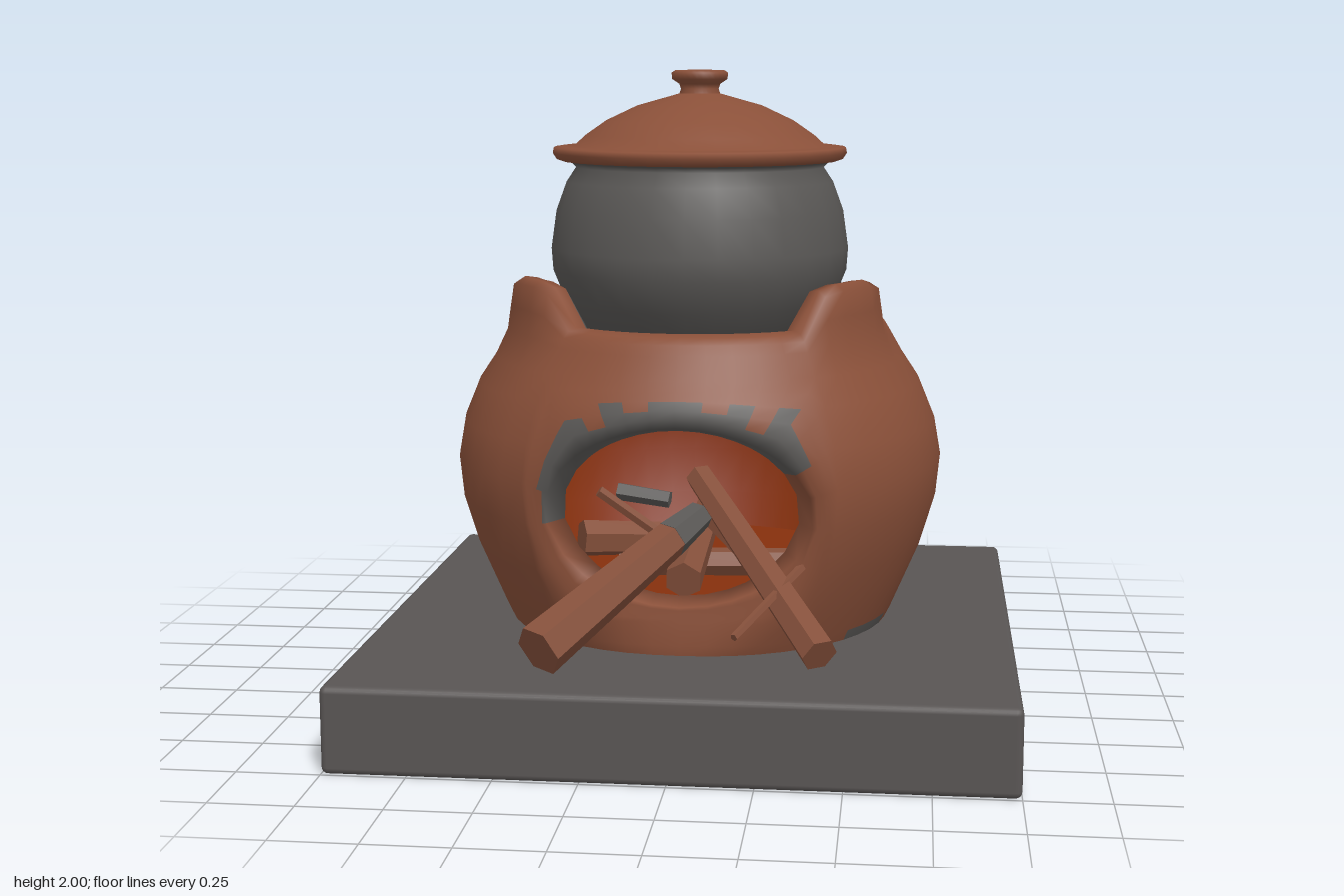
import * as THREE from 'three';
import { mergeVertices } from 'three/addons/utils/BufferGeometryUtils.js';
import { RoundedBoxGeometry } from 'three/addons/geometries/RoundedBoxGeometry.js';

const CX = -0.01, CZ = -0.03; // shared axis of stove and pot
const COLS = 48, HALF = 5;    // columns around the stove, half width of the mouth window

// Stove wall rows: radius, height, share of the lug lift
const OUTER = [
  [0.61, 0.25, 0], [0.63, 0.29, 0], [0.66, 0.36, 0], [0.72, 0.5, 0], [0.765, 0.65, 0],
  [0.778, 0.78, 0], [0.757, 0.9, 0], [0.708, 1.02, 0], [0.655, 1.1, 0], [0.615, 1.17, 0.15],
  [0.597, 1.2, 0.5], [0.577, 1.22, 0.92], [0.545, 1.228, 1], [0.505, 1.222, 1],
];
const INNER = [
  [0.478, 1.19, 0.8], [0.48, 1.15, 0.2], [0.56, 1.1, 0], [0.62, 1.02, 0], [0.67, 0.9, 0],
  [0.69, 0.78, 0], [0.68, 0.65, 0], [0.64, 0.5, 0], [0.58, 0.36, 0],
];
const OUT_ROWS = [2, 8];   // rows spanned by the mouth window, outside
const IN_ROWS = [16, 22];  // and inside

// Three pot supports, one at the back and two toward the front
function lug(theta) {
  let best = 0;
  for (const c of [Math.PI, Math.PI / 3, -Math.PI / 3]) {
    const d = Math.abs(Math.atan2(Math.sin(theta - c), Math.cos(theta - c)));
    best = Math.max(best, 1 - THREE.MathUtils.smoothstep(d, 0.23, 0.38));
  }
  return best;
}

// Point on the wall; the front is flattened around the mouth
function wallPoint(theta, r, y, lift, inside) {
  const l = lift * lug(theta);
  const rad = r + 0.025 * l;
  let z = rad * Math.cos(theta) + CZ;
  if (z > 0) {
    const lim = 0.565 + 0.48 * (y - 0.5) ** 2 - (inside ? 0.07 : 0);
    z = 0.5 * (z + lim - Math.sqrt((z - lim) ** 2 + 0.0006));
  }
  return [rad * Math.sin(theta) + CX, y + 0.133 * l, z];
}

function radiusAt(rows, y) {
  for (let i = 0; i < rows.length - 1; i++) {
    const [a, b] = [rows[i], rows[i + 1]];
    if ((y - a[1]) * (y - b[1]) <= 0) return a[0] + (b[0] - a[0]) * (y - a[1]) / (b[1] - a[1]);
  }
  return rows[0][0];
}

function stoveGeometry() {
  const buckets = [[], [], []]; // clay, soot, ember
  const quad = (m, a, b, c, d) => buckets[m].push(...a, ...b, ...c, ...a, ...c, ...d);
  const rows = [...OUTER, ...INNER];
  const angle = i => i * Math.PI * 2 / COLS;
  const at = (i, j) => wallPoint(angle(i), ...rows[j], j >= OUTER.length);

  // Wall all around, leaving the mouth window open
  for (let j = 0; j < rows.length - 1; j++) {
    for (let i = -HALF; i < COLS - HALF; i++) {
      const inWindow = [OUT_ROWS, IN_ROWS].some(([a, b]) => j >= a && j < b);
      if (i < HALF && inWindow) continue;
      const stained = j === 0 && Math.sin(i * 0.9 + 1) + Math.sin(i * 0.37 + 4) > 0.6;
      const m = j >= IN_ROWS[0] ? 2 : j >= OUTER.length - 1 || stained ? 1 : 0;
      quad(m, at(i, j), at(i + 1, j), at(i + 1, j + 1), at(i, j + 1));
    }
  }

  // Window outline, counter-clockwise from the lower corner
  const edge = [];
  const [lo, hi] = OUT_ROWS;
  for (let i = -HALF; i < HALF; i++) edge.push([angle(i), OUTER[lo][1]]);
  for (let j = lo; j < hi; j++) edge.push([angle(HALF), OUTER[j][1]]);
  for (let i = HALF; i > -HALF; i--) edge.push([angle(i), OUTER[hi][1]]);
  for (let j = hi; j > lo; j--) edge.push([angle(-HALF), OUTER[j][1]]);

  const bearing = ([th, y]) => Math.atan2((y - 0.68) / 0.37, th / 0.654);
  const mouth = (p, s) => {
    const a = bearing(p), sn = Math.sin(a);
    return [0.55 * Math.cos(a), 0.68 + sn * s * (sn > 0 ? 0.29 : 0.275)];
  };
  const innerWall = INNER.slice(2);
  const place = (th, y, inside) =>
    wallPoint(th, radiusAt(inside ? innerWall : OUTER, y), y, 0, inside);

  // Loops from the window edge to the lip, through the wall, and out to the inner edge
  const steps = [1, 0.8, 0.6, 0.4, 0.2, 0];
  const loops = steps.map(t => edge.map(p => {
    const m = mouth(p, 1);
    return place(m[0] + (p[0] - m[0]) * t, m[1] + (p[1] - m[1]) * t, false);
  }));
  loops.push(edge.map(p => place(...mouth(p, 0.93), true)));
  loops.push(edge.map(p => place(...p, true)));
  for (let n = 0; n < loops.length - 1; n++) {
    for (let k = 0; k < edge.length; k++) {
      const q = (k + 1) % edge.length;
      const a = bearing(edge[k]);
      const up = Math.sin(a + 0.12);
      const reach = up > 0.38 || (a > 2.5 && up > -0.1) ? 0.3 + 0.4 * up * Math.abs(Math.sin(k * 1.3)) : 0;
      let m = 0;
      if (n === loops.length - 2) m = 2;
      else if (reach > 0 && (n === 5 || steps[n] <= reach)) m = 1;
      quad(m, loops[n][k], loops[n][q], loops[n + 1][q], loops[n + 1][k]);
    }
  }

  const geo = new THREE.BufferGeometry();
  geo.setAttribute('position', new THREE.Float32BufferAttribute(buckets.flat(), 3));
  let start = 0;
  buckets.forEach((b, m) => { geo.addGroup(start, b.length / 3, m); start += b.length / 3; });
  const merged = mergeVertices(geo, 1e-4);
  merged.computeVertexNormals();
  return merged;
}

export function createModel() {
  const group = new THREE.Group();
  const mat = (name, color) => {
    const m = new THREE.MeshStandardMaterial({ color });
    m.name = name;
    return m;
  };
  const clay = mat('terracotta', 0x8a5039);
  const soot = mat('soot grey', 0x5a5856);
  const stone = mat('slab grey', 0x595554);
  const ember = mat('fire orange', 0x86300c);
  const wood = mat('firewood', 0x85503b);

  const add = (name, geo, material, parent = group) => {
    const mesh = new THREE.Mesh(geo, material);
    mesh.name = name;
    parent.add(mesh);
    return mesh;
  };

  // Stone slab, sagging slightly at the back
  const slabGeo = new RoundedBoxGeometry(2, 0.262, 2, 2, 0.02);
  const pos = slabGeo.attributes.position;
  for (let i = 0; i < pos.count; i++) {
    if (pos.getZ(i) < 0 && pos.getY(i) > 0) pos.setY(i, pos.getY(i) - 0.018);
  }
  add('slab', slabGeo, stone).position.y = 0.131;

  // Stove shell and fire floor
  add('stoveBody', stoveGeometry(), [clay, soot, ember]);
  add('fireFloor', new THREE.CylinderGeometry(0.56, 0.56, 0.14, 32), ember).position.set(CX, 0.32, CZ - 0.05);

  // Cooking pot and lid
  const turned = (name, points, material) => {
    const geo = new THREE.LatheGeometry(points.map(p => new THREE.Vector2(...p)), 28);
    add(name, geo, material).position.set(CX, 0, CZ);
  };
  turned('pot', [[0, 1.06], [0.2, 1.085], [0.34, 1.16], [0.43, 1.27], [0.47, 1.37], [0.475, 1.44],
    [0.458, 1.56], [0.425, 1.65], [0.395, 1.695], [0.41, 1.71], [0.452, 1.72], [0.45, 1.735], [0, 1.735]], soot);
  turned('lid', [[0, 1.715], [0.44, 1.715], [0.455, 1.72], [0.468, 1.74], [0.465, 1.757], [0.44, 1.76],
    [0.4, 1.763], [0.365, 1.795], [0.3, 1.84], [0.2, 1.887], [0.1, 1.915], [0.065, 1.925]], clay);
  turned('lidKnob', [[0.068, 1.915], [0.06, 1.94], [0.065, 1.955], [0.088, 1.97], [0.09, 1.99],
    [0.078, 1.998], [0, 2]], clay);

  // Firewood: start, end, start radius, end radius, sides, charred tip
  const stick = (name, a, b, r0, r1, sides, material) => {
    const from = new THREE.Vector3(...a), dir = new THREE.Vector3(...b).sub(from);
    const geo = new THREE.CylinderGeometry(r1, r0, dir.length(), sides).toNonIndexed();
    geo.computeVertexNormals();
    const mesh = add(name, geo, material, logs);
    mesh.position.copy(from).addScaledVector(dir, 0.5);
    mesh.quaternion.setFromUnitVectors(new THREE.Vector3(0, 1, 0), dir.normalize());
  };
  const logs = new THREE.Group();
  logs.name = 'firewood';
  group.add(logs);
  const pieces = [
    ['largeLog', [-0.38, 0.355, 0.89], [-0.05, 0.585, 0.44], 0.08, 0.058, 6],
    ['rightLog', [0.425, 0.35, 0.83], [0.01, 0.73, 0.18], 0.056, 0.045, 6],
    ['thinTwig', [0.18, 0.4, 0.85], [0.36, 0.54, 0.55], 0.012, 0.014, 5],
    ['leftInnerLog', [-0.36, 0.53, 0.22], [0.02, 0.5, 0.05], 0.06, 0.05, 6],
    ['middleLog', [-0.01, 0.46, 0.45], [0.02, 0.58, -0.1], 0.06, 0.045, 6],
    ['rightInnerLog', [0.28, 0.43, 0.4], [0.03, 0.62, 0.2], 0.03, 0.028, 5],
    ['leaningTwig', [-0.3, 0.69, 0.25], [-0.05, 0.5, 0.2], 0.018, 0.018, 5],
    ['lowLog', [0.34, 0.44, 0.1], [-0.25, 0.44, 0.15], 0.045, 0.045, 6],
  ];
  for (const p of pieces) stick(...p, wood);
  stick('largeLogCharredTip', [-0.05, 0.585, 0.44], [0.03, 0.64, 0.33], 0.059, 0.045, 6, soot);
  stick('charredPiece', [-0.26, 0.66, 0.1], [-0.09, 0.64, 0.12], 0.03, 0.028, 5, soot);

  return group;
}
